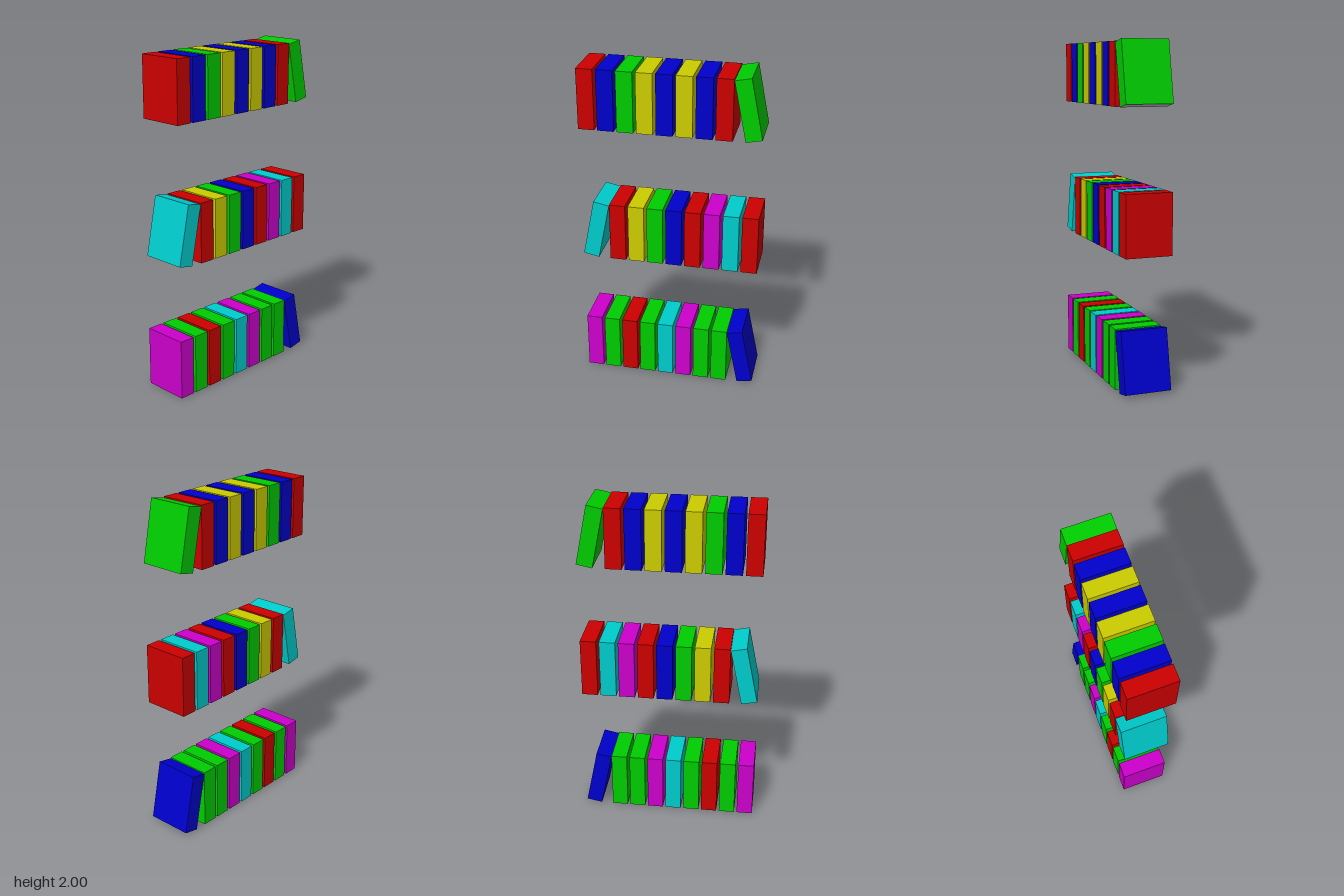
import * as THREE from 'three';

const W = 0.096, H = 0.36, D = 0.28, STEP = 0.1134, EDGE = 0.528, TILT = 0.2;
const COLORS = { r: 0xcc0000, g: 0x00cc00, b: 0x0000cc, y: 0xcccc00, m: 0xcc00cc, c: 0x00cccc };

// Each row: base height, book colours from -x to +x, and the end with the leaning book
const ROWS = [
  { name: 'bottomRow', y: 0, books: 'mgrgcmggb', lean: 1 },
  { name: 'middleRow', y: 0.8, books: 'crygbrmcr', lean: -1 },
  { name: 'topRow', y: 1.628, books: 'rbgybybrg', lean: 1 },
];

export function createModel() {
  const model = new THREE.Group();
  model.name = 'bookRows';
  const geometry = new THREE.BoxGeometry(W, H, D);
  const grey = new THREE.MeshStandardMaterial({ color: 0xcccccc });
  const covers = {};
  for (const key in COLORS) covers[key] = new THREE.MeshStandardMaterial({ color: COLORS[key] });

  for (const { name, y, books, lean } of ROWS) {
    const row = new THREE.Group();
    row.name = name;
    row.position.y = y;
    [...books].forEach((key, i) => {
      // Coloured on five sides, grey underneath
      const c = covers[key];
      const book = new THREE.Mesh(geometry, [c, c, c, grey, c, c]);
      // Count from the upright end towards the leaning end
      const n = lean > 0 ? i : books.length - 1 - i;
      if (n < books.length - 1) {
        book.name = 'book';
        book.position.set(lean * (-EDGE + W / 2 + n * STEP), H / 2, 0);
      } else {
        // Last book rests its top edge against its neighbour
        const halfX = (W * Math.cos(TILT) + H * Math.sin(TILT)) / 2;
        const halfY = (H * Math.cos(TILT) + W * Math.sin(TILT)) / 2;
        book.name = 'leaningBook';
        book.position.set(lean * (EDGE - halfX), halfY, 0);
        book.rotation.z = lean * TILT;
      }
      row.add(book);
    });
    model.add(row);
  }
  return model;
}
